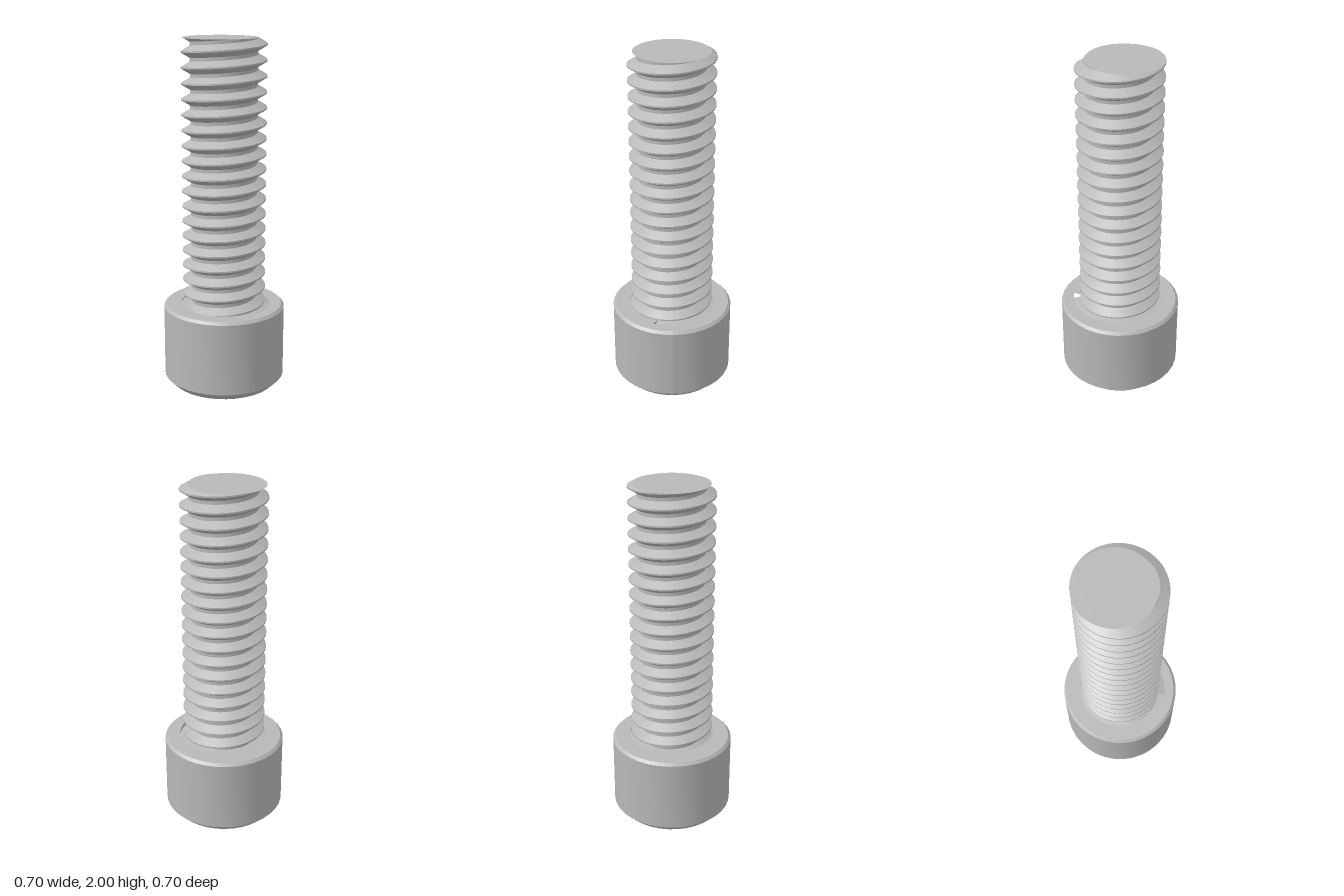
import * as THREE from 'three';

const SEG = 72;               // steps round the shank
const HEAD_TOP = 0.478, TOP = 2;
const HEX_R = 0.213, HEX_DEPTH = 0.24;
const ROOT = 0.188, CREST = 0.238, PITCH = 0.0865, CREST_Y = 1.957;
const CREST_HALF = 0.05, ROOT_HALF = 0.39;   // fractions of the pitch

// Smooth ribbon round the y axis; each row is t => [radius, height]
function ribbon(rows, segments = SEG, start = 0) {
  const pos = [], index = [];
  for (let j = 0; j <= segments; j++) {
    const t = start + (j / segments) * Math.PI * 2;
    for (const row of rows) {
      const [r, y] = row(t, j / segments);
      pos.push(r * Math.cos(t), y, -r * Math.sin(t));
    }
  }
  const n = rows.length;
  for (let j = 0; j < segments; j++) {
    for (let i = 0; i < n - 1; i++) {
      const a = j * n + i, b = a + n;
      index.push(a, b, a + 1, b, b + 1, a + 1);
    }
  }
  const g = new THREE.BufferGeometry();
  g.setAttribute('position', new THREE.Float32BufferAttribute(pos, 3));
  g.setIndex(index);
  g.computeVertexNormals();
  return g;
}

const circlePoints = (r, n) => Array.from({ length: n }, (_, i) => {
  const a = (i / n) * Math.PI * 2;
  return new THREE.Vector2(r * Math.cos(a), r * Math.sin(a));
});

function plate(outer, hole) {
  const shape = new THREE.Shape(outer);
  if (hole) shape.holes.push(new THREE.Path(hole));
  return new THREE.ShapeGeometry(shape);
}

// Thread radius at a given angle and height
function threadRadius(t, y) {
  let f = (y - CREST_Y) / PITCH - t / (Math.PI * 2);
  f = Math.abs(f - Math.round(f));
  const k = THREE.MathUtils.clamp((f - CREST_HALF) / (ROOT_HALF - CREST_HALF), 0, 1);
  return THREE.MathUtils.lerp(CREST, ROOT, k);
}

// Point on a helix, cut off at the ends of the shank
function helixRow(turn, offset) {
  return (t) => {
    const raw = CREST_Y + PITCH * (turn + offset + t / (Math.PI * 2));
    const y = THREE.MathUtils.clamp(raw, 0.44, TOP);
    return [threadRadius(t, y), y];
  };
}

export function createModel() {
  const model = new THREE.Group();
  const steel = new THREE.MeshStandardMaterial({ color: 0xb8b8b8 });
  steel.name = 'steel grey';

  const add = (parent, name, geometry) => {
    const mesh = new THREE.Mesh(geometry, steel);
    mesh.name = name;
    parent.add(mesh);
    return mesh;
  };

  // Head: chamfered cylinder sides
  const head = new THREE.Group();
  head.name = 'head';
  model.add(head);
  const profile = [[0.305, 0], [0.35, 0.045], [0.35, 0.463], [0.335, HEAD_TOP]];
  ['lowerChamfer', 'headSide', 'upperChamfer'].forEach((name, i) =>
    add(head, name, ribbon([() => profile[i], () => profile[i + 1]], 36)));

  // Underside with hexagonal socket
  add(head, 'headUnderside',
    plate(circlePoints(0.305, 36), circlePoints(HEX_R, 6)).rotateX(Math.PI / 2));
  const walls = ribbon([() => [HEX_R, HEX_DEPTH], () => [HEX_R, 0]], 6).toNonIndexed();
  walls.computeVertexNormals();
  add(head, 'socketWalls', walls);
  add(head, 'socketFloor',
    new THREE.CircleGeometry(HEX_R, 6).rotateX(Math.PI / 2)).position.y = HEX_DEPTH;

  // Thread run-out groove spiralling into the top of the head
  const start = -23 * Math.PI / 180;
  const flare = (u) => THREE.MathUtils.clamp(1 - u / 0.32, 0, 1);
  const grooveR = (u) => 0.248 + 0.032 * flare(u);
  const grooveY = (u) => HEAD_TOP - 0.008 - 0.024 * flare(u);
  const outline = Array.from({ length: SEG + 1 }, (_, j) => {
    const u = j / SEG, a = start + u * Math.PI * 2, r = grooveR(u);
    return new THREE.Vector2(r * Math.cos(a), r * Math.sin(a));
  });
  add(head, 'headTop', plate(circlePoints(0.335, 36), outline).rotateX(-Math.PI / 2))
    .position.y = HEAD_TOP;
  add(head, 'runOutFloor', ribbon([
    (t, u) => [grooveR(u), grooveY(u)],
    () => [0.18, HEAD_TOP],
  ], SEG, start));
  add(head, 'runOutWall', ribbon([
    (t, u) => [grooveR(u), HEAD_TOP],
    (t, u) => [grooveR(u), grooveY(u)],
  ], SEG, start));

  // Threaded shank: four separate faces per turn keep the edges sharp
  const shank = new THREE.Group();
  shank.name = 'threadedShank';
  model.add(shank);
  const offsets = [-ROOT_HALF, -CREST_HALF, CREST_HALF, ROOT_HALF, 1 - ROOT_HALF];
  const faces = ['lowerFlank', 'crest', 'upperFlank', 'root'];
  for (let turn = -19; turn <= 1; turn++) {
    faces.forEach((name, i) => add(shank, name,
      ribbon([helixRow(turn, offsets[i]), helixRow(turn, offsets[i + 1])])));
  }

  // Flat end following the cut thread
  const end = Array.from({ length: SEG }, (_, j) => {
    const t = (j / SEG) * Math.PI * 2, r = threadRadius(t, TOP);
    return new THREE.Vector2(r * Math.cos(t), r * Math.sin(t));
  });
  add(shank, 'shankEnd', plate(end).rotateX(-Math.PI / 2)).position.y = TOP;

  return model;
}
